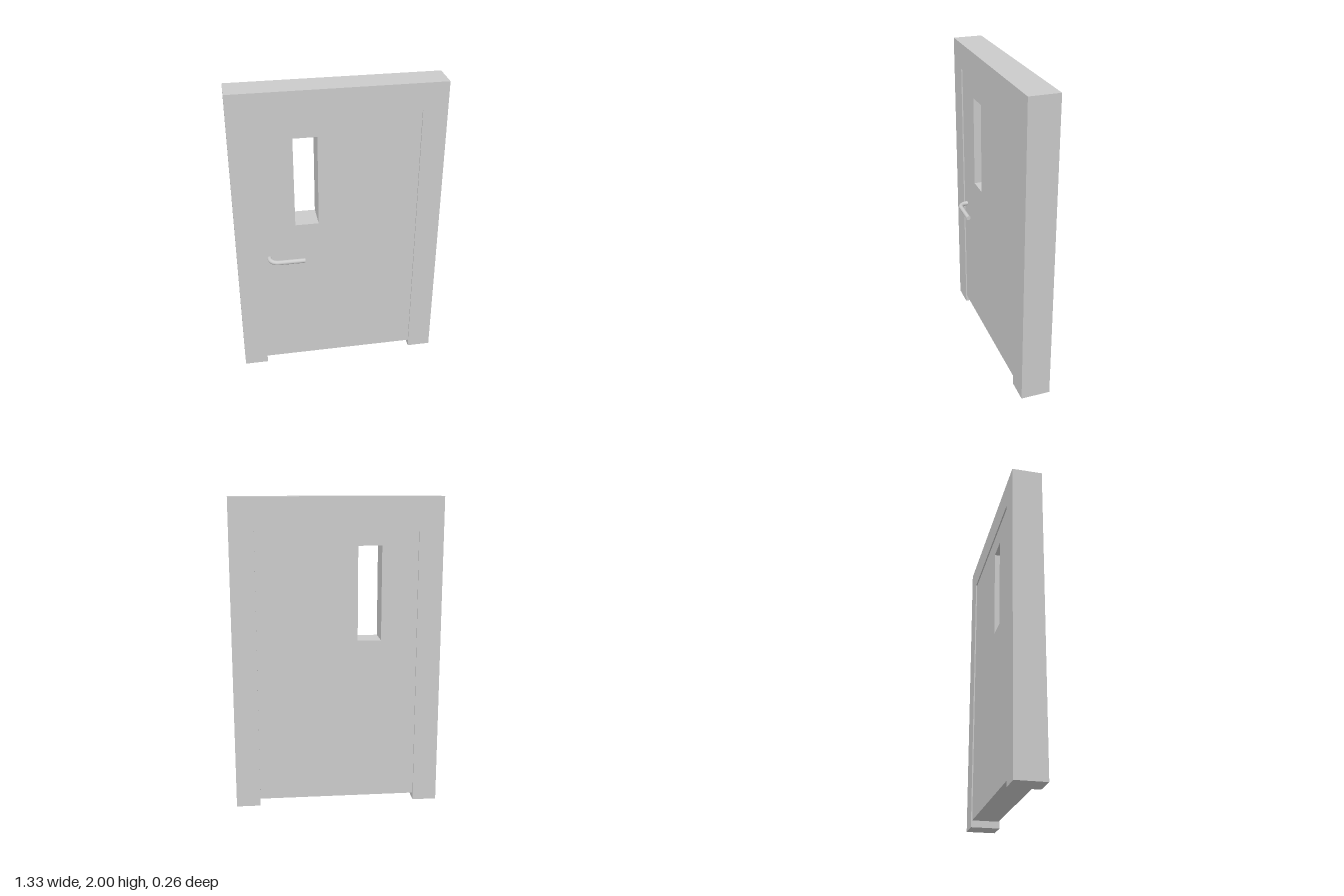
import * as THREE from 'three';

const material = new THREE.MeshStandardMaterial({ color: 0xcccccc });

// Closed polygon from [x, y] corners
const outline = (Type, corners) => new Type(corners.map(([x, y]) => new THREE.Vector2(x, y)));

const rect = (x0, y0, x1, y1) => [[x0, y0], [x1, y0], [x1, y1], [x0, y1]];

// Flat panel spanning z = back to z = front
function panel(name, shape, back, front) {
  const geometry = new THREE.ExtrudeGeometry(shape, { depth: front - back, bevelEnabled: false });
  geometry.translate(0, 0, back);
  const mesh = new THREE.Mesh(geometry, material);
  mesh.name = name;
  return mesh;
}

function createHandle() {
  const y = 0.868, radius = 0.015, postX = -0.455, gripZ = 0.115, bend = 0.055, endX = -0.23;
  const group = new THREE.Group();
  group.name = 'handle';

  // Post out of the door, quarter-turn bend, straight grip
  const path = new THREE.CurvePath();
  const points = [];
  points.push(new THREE.Vector3(postX, y, 0.04));
  const steps = 10;
  for (let i = 0; i <= steps; i++) {
    const a = (i / steps) * Math.PI / 2;
    points.push(new THREE.Vector3(
      postX + bend * (1 - Math.cos(a)), y, gripZ - bend + bend * Math.sin(a)));
  }
  points.push(new THREE.Vector3(endX, y, gripZ));
  for (let i = 1; i < points.length; i++) path.add(new THREE.LineCurve3(points[i - 1], points[i]));

  const bar = new THREE.Mesh(new THREE.TubeGeometry(path, 64, radius, 20), material);
  bar.name = 'handleBar';

  // Flat end of the grip
  const cap = new THREE.Mesh(new THREE.CircleGeometry(radius, 20), material);
  cap.name = 'handleEnd';
  cap.rotation.y = Math.PI / 2;
  cap.position.set(endX, y, gripZ);

  group.add(bar, cap);
  return group;
}

export function createModel() {
  const model = new THREE.Group();
  model.name = 'door';

  const W = 0.665, w = 0.51, top = 1.83;

  // Jambs and lintel in one piece, open at the floor
  const frame = outline(THREE.Shape, [
    [-W, 0], [-w, 0], [-w, top], [w, top], [w, 0], [W, 0], [W, 2], [-W, 2],
  ]);
  model.add(panel('frame', frame, -0.132, 0.06));

  // Leaf, slightly recessed on both faces, with a window opening
  const leaf = outline(THREE.Shape, rect(-w, 0.045, w, top));
  leaf.holes.push(outline(THREE.Path, rect(-0.28, 1.1, -0.13, 1.7)));
  model.add(panel('doorLeaf', leaf, -0.124, 0.052));

  model.add(createHandle());
  return model;
}
